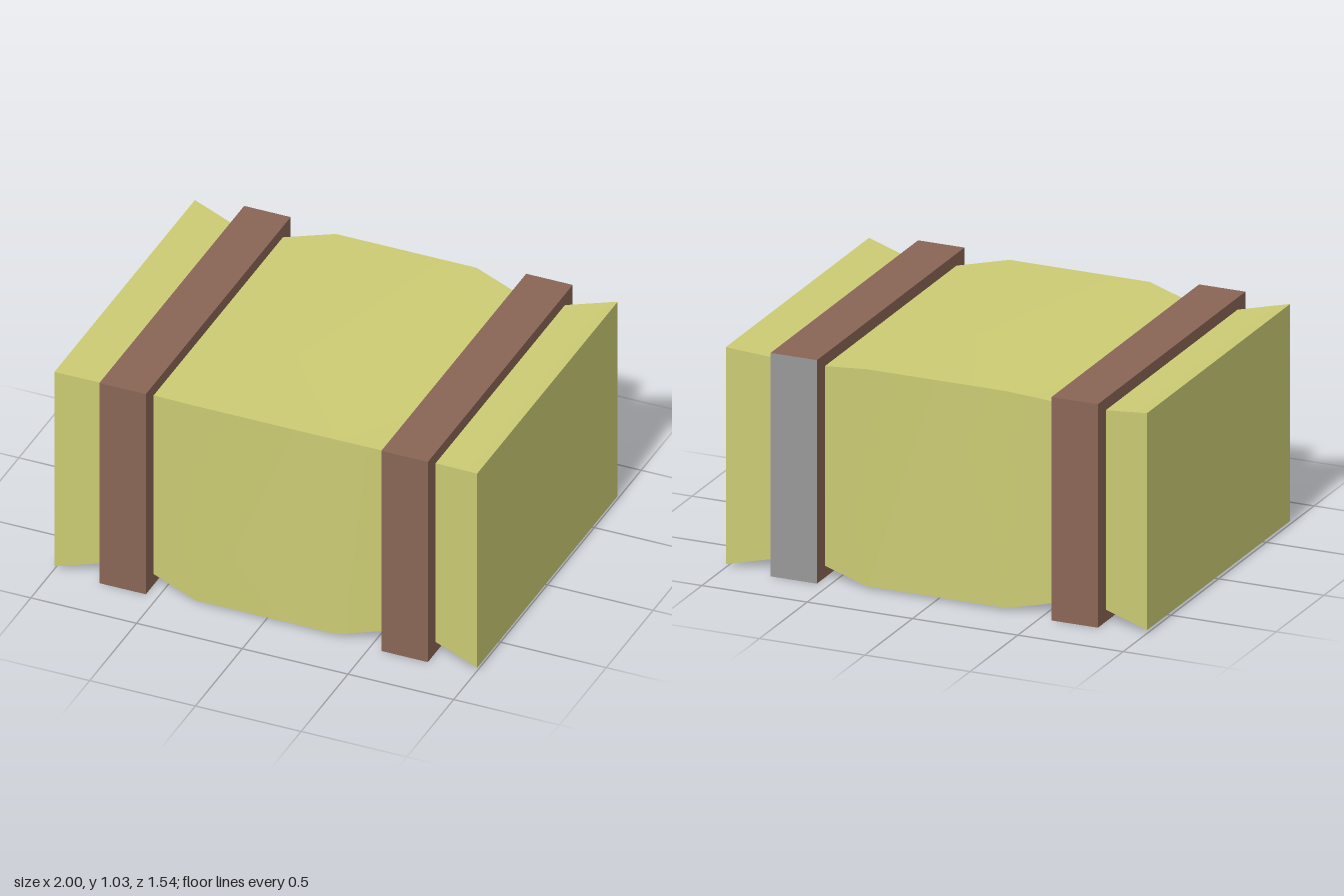
import * as THREE from 'three';
import { toCreasedNormals } from 'three/addons/utils/BufferGeometryUtils.js';

const HALF_H = 0.5, HALF_D = 0.75, MID_Y = 0.515;
// stations along the length and the section scale at each (pinched under the straps)
const STATIONS = [-1, -0.667, -0.333, 0.333, 0.667, 1];
const SCALES = [1, 0.88, 1, 1, 0.88, 1];

function baleGeometry() {
  const geo = new THREE.BoxGeometry(5, 2 * HALF_H, 2 * HALF_D, 5, 1, 1);
  const p = geo.attributes.position;
  for (let i = 0; i < p.count; i++) {
    const k = Math.round(p.getX(i) + 2.5);
    p.setXYZ(i, STATIONS[k], p.getY(i) * SCALES[k], p.getZ(i) * SCALES[k]);
  }
  return toCreasedNormals(geo, 0.5);
}

export function createModel() {
  const group = new THREE.Group();
  group.name = 'strappedBale';

  const hay = new THREE.MeshStandardMaterial({ color: 0xcccc74 });
  const leather = new THREE.MeshStandardMaterial({ color: 0x8a6656 });
  const grey = new THREE.MeshStandardMaterial({ color: 0x999999 });

  // bale body
  const bale = new THREE.Mesh(baleGeometry(), hay);
  bale.name = 'bale';
  bale.position.y = MID_Y;
  group.add(bale);

  // two straps; the left one has a grey back face
  for (const side of [-1, 1]) {
    const back = side > 0 ? grey : leather;
    const strap = new THREE.Mesh(
      new THREE.BoxGeometry(0.22, 2 * MID_Y, 1.545),
      [leather, leather, leather, leather, leather, back]
    );
    strap.name = side > 0 ? 'leftStrap' : 'rightStrap';
    strap.position.set(side * 0.667, MID_Y, 0);
    group.add(strap);
  }
  return group;
}
